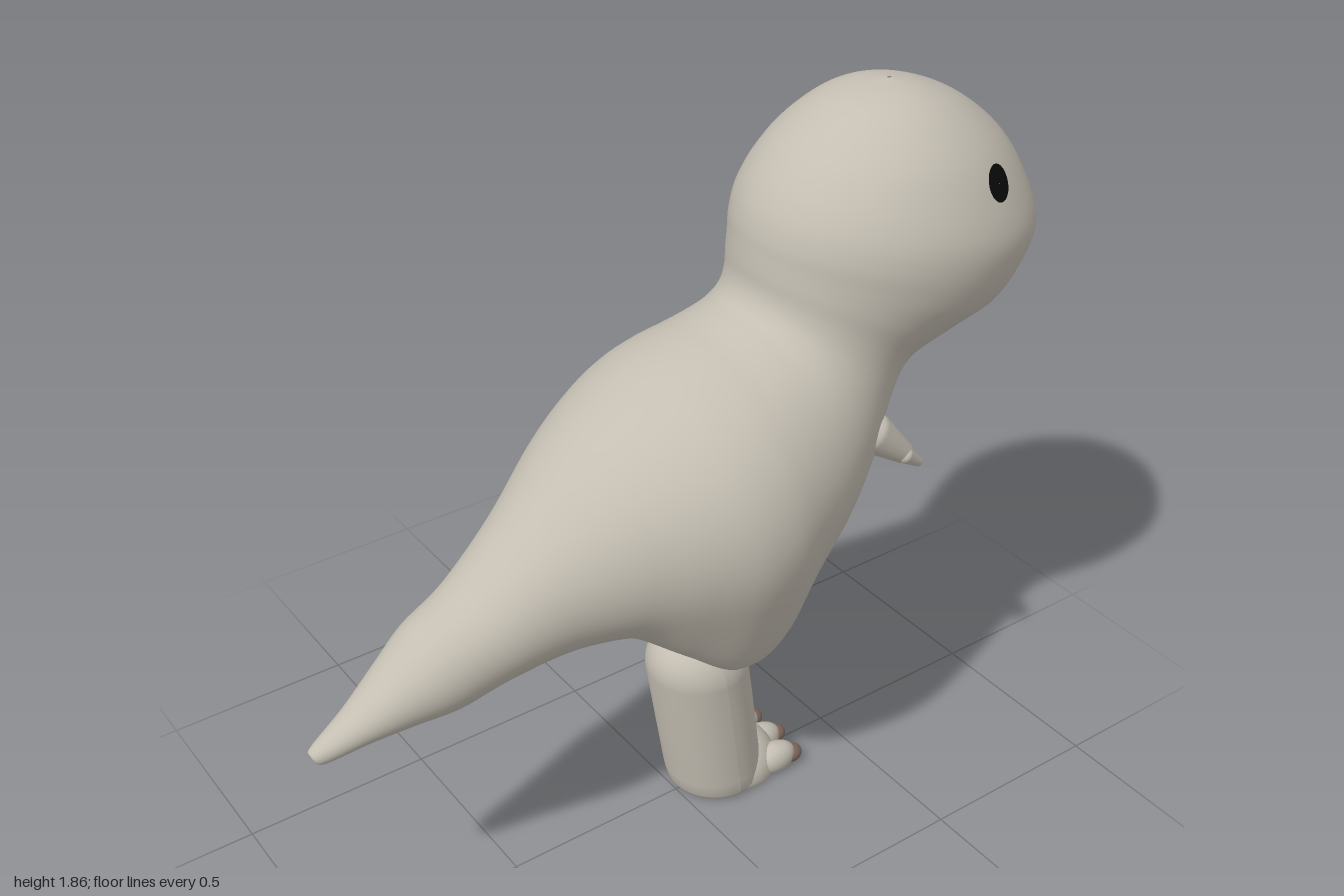
import * as THREE from 'three';

const skin = new THREE.MeshStandardMaterial({ name: 'warm grey skin', color: 0xc4beb2 });
const clawMat = new THREE.MeshStandardMaterial({ name: 'brown claw', color: 0x80685c });
const eyeMat = new THREE.MeshStandardMaterial({ name: 'black eye', color: 0x0a0a0a, side: THREE.DoubleSide });

// Cross-sections from tail tip to crown: back point x, y, belly point x, y, half width, thigh bulge
const SECTIONS = [
  [-1, .635, -1, .625, .005], [-.995, .65, -.975, .605, .025], [-.9, .71, -.87, .62, .055],
  [-.8, .79, -.76, .628, .09], [-.72, .855, -.65, .632, .12], [-.6, .92, -.53, .66, .14],
  [-.45, 1.045, -.37, .68, .185], [-.3, 1.18, -.23, .67, .26], [-.18, 1.26, -.1, .625, .325, .06],
  [-.07, 1.315, .03, .585, .368, .12], [.02, 1.345, .15, .605, .37, .11], [.09, 1.362, .26, .685, .345, .05],
  [.14, 1.38, .38, .77, .315], [.175, 1.395, .49, .93, .28], [.195, 1.42, .56, 1.08, .25],
  [.205, 1.45, .62, 1.185, .25], [.208, 1.49, .75, 1.25, .28], [.212, 1.53, .89, 1.31, .31],
  [.218, 1.575, .965, 1.41, .328], [.235, 1.63, .995, 1.5, .325], [.27, 1.69, .95, 1.62, .29],
  [.33, 1.755, .88, 1.72, .24], [.42, 1.82, .78, 1.8, .165], [.5, 1.85, .68, 1.845, .09],
  [.59, 1.862, .6, 1.862, .004],
];

// Smooth interpolation of one section column
function column(k, t) {
  const last = SECTIONS.length - 1;
  const i = Math.min(Math.floor(t), last - 1), f = t - i;
  const at = (n) => SECTIONS[Math.max(0, Math.min(last, n))][k] || 0;
  const [a, b, c, d] = [at(i - 1), at(i), at(i + 1), at(i + 2)];
  return b + 0.5 * f * (c - a + f * (2 * a - 5 * b + 4 * c - d + f * (3 * (b - c) + d - a)));
}

// Tail, torso, neck and head as one continuous skin
function bodyGeometry() {
  const rings = 144, sides = 64, pos = [], index = [];
  for (let i = 0; i <= rings; i++) {
    const t = (i / rings) * (SECTIONS.length - 1);
    const [ux, uy, lx, ly, w, lobe] = [0, 1, 2, 3, 4, 5].map((k) => column(k, t));
    const hx = (ux - lx) / 2, hy = (uy - ly) / 2, len = Math.hypot(hx, hy) || 1;
    for (let j = 0; j < sides; j++) {
      const phi = (j / sides) * Math.PI * 2;
      const fromBelly = Math.abs(Math.PI - phi);
      const bulge = Math.max(0, lobe) * Math.exp(-(((fromBelly - 0.6) / 0.36) ** 2));
      const h = Math.cos(phi) - bulge / len;
      pos.push((ux + lx) / 2 + hx * h, (uy + ly) / 2 + hy * h, Math.max(w, 0.002) * Math.sin(phi));
      if (i < rings) {
        const a = i * sides + j, c = i * sides + ((j + 1) % sides);
        index.push(a, c, a + sides, c, c + sides, a + sides);
      }
    }
  }
  const g = new THREE.BufferGeometry();
  g.setAttribute('position', new THREE.Float32BufferAttribute(pos, 3));
  g.setIndex(index);
  g.computeVertexNormals();
  return g;
}

function part(name, geometry, material, parent) {
  const m = new THREE.Mesh(geometry, material);
  m.name = name;
  parent.add(m);
  return m;
}

// Ellipsoid, its underside flattened at the floor
function blob(name, c, r, material, parent) {
  const g = new THREE.SphereGeometry(1, 24, 16).scale(...r).translate(...c);
  const p = g.attributes.position;
  for (let i = 0; i < p.count; i++) p.setY(i, Math.max(0.002, p.getY(i)));
  g.computeVertexNormals();
  return part(name, g, material, parent);
}

// Rounded tapering limb from one point to another
function limb(name, from, to, r0, r1, parent) {
  const a = new THREE.Vector3(...from), d = new THREE.Vector3(...to).sub(a), L = d.length();
  const pts = [];
  for (let i = 0; i <= 6; i++) {
    const t = (i / 6) * Math.PI / 2;
    pts.push(new THREE.Vector2(r0 * Math.sin(t), -r0 * Math.cos(t)));
  }
  for (let i = 0; i <= 6; i++) {
    const t = (i / 6) * Math.PI / 2;
    pts.push(new THREE.Vector2(r1 * Math.cos(t), L - r1 + r1 * Math.sin(t)));
  }
  const m = part(name, new THREE.LatheGeometry(pts, 20), skin, parent);
  m.position.copy(a);
  m.quaternion.setFromUnitVectors(new THREE.Vector3(0, 1, 0), d.normalize());
  return m;
}

// Thin eye disc laid onto the curved head
function eyeGeometry(body, side) {
  const g = new THREE.RingGeometry(0.001, 0.038, 24, 4).translate(0.705, 1.67, 0);
  const p = g.attributes.position, ray = new THREE.Raycaster();
  const dir = new THREE.Vector3(0, 0, -side);
  for (let i = 0; i < p.count; i++) {
    ray.set(new THREE.Vector3(p.getX(i), p.getY(i), side), dir);
    const hit = ray.intersectObject(body)[0];
    p.setZ(i, (hit ? hit.point.z : 0.28 * side) + 0.005 * side);
  }
  g.computeVertexNormals();
  return g;
}

export function createModel() {
  const model = new THREE.Group();
  model.name = 'dinosaur';
  const body = part('body', bodyGeometry(), skin, model);

  for (const s of [1, -1]) {
    const side = s > 0 ? 'near' : 'far';
    part(side + 'Eye', eyeGeometry(body, s), eyeMat, model);

    // Small arm with two fingers
    const arm = new THREE.Group();
    arm.name = side + 'Arm';
    model.add(arm);
    limb('upperArm', [0.43, 1.075, 0.21 * s], [0.53, 0.985, 0.235 * s], 0.052, 0.029, arm);
    limb('outerFinger', [0.51, 1.0, 0.242 * s], [0.565, 0.955, 0.24 * s], 0.022, 0.012, arm);
    limb('innerFinger', [0.51, 1.0, 0.222 * s], [0.572, 0.95, 0.212 * s], 0.022, 0.012, arm);
  }

  // Single leaning leg with a domed top
  const leg = new THREE.Group();
  leg.name = 'leg';
  model.add(leg);
  const profile = [[0, 0], [0.1, 0], [0.116, 0.004], [0.126, 0.02], [0.13, 0.06], [0.132, 0.25]]
    .map(([x, y]) => new THREE.Vector2(x, y));
  for (let i = 0; i <= 12; i++) {
    const t = (i / 12) * Math.PI / 2;
    profile.push(new THREE.Vector2(0.133 * Math.cos(t), 0.403 + 0.133 * Math.sin(t)));
  }
  const shin = new THREE.LatheGeometry(profile, 48);
  const p = shin.attributes.position;
  for (let i = 0; i < p.count; i++) p.setX(i, p.getX(i) + 0.127 - 0.15 * p.getY(i));
  shin.computeVertexNormals();
  part('shin', shin, skin, leg);

  // Foot with three clawed toes
  blob('foot', [0.19, 0.02, 0], [0.115, 0.1, 0.122], skin, leg);
  for (const k of [-1, 0, 1]) {
    const tip = k ? 0.318 : 0.33;
    blob('toe', [tip - 0.05, 0.036, 0.083 * k], [0.065, 0.044, 0.04], skin, leg);
    blob('claw', [tip, 0.03, 0.088 * k], [0.035, 0.025, 0.029], clawMat, leg);
  }
  return model;
}
